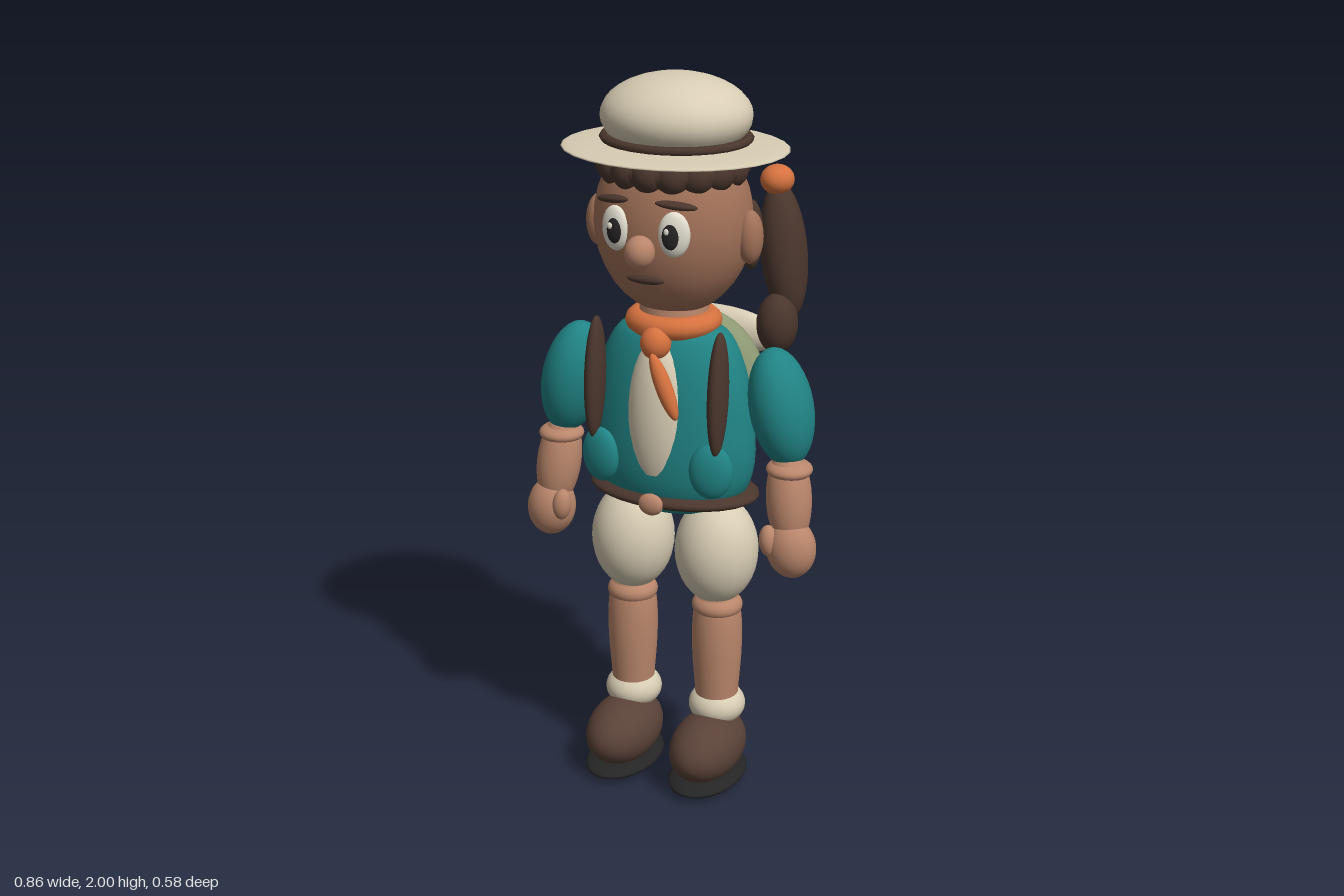
import * as THREE from 'three';

const mat = (name, color) => {
  const m = new THREE.MeshStandardMaterial({ color });
  m.name = name;
  return m;
};

export function createModel() {
  const face = mat('face skin', 0xa27259);
  const skin = mat('skin', 0xb9866b);
  const hair = mat('dark brown', 0x4a362d);
  const shoeBrown = mat('shoe brown', 0x5a4238);
  const cream = mat('cream', 0xd8cdb4);
  const teal = mat('teal', 0x218485);
  const orange = mat('orange', 0xd5723f);
  const green = mat('pack green', 0x8d9873);
  const black = mat('black', 0x262526);
  const white = mat('eye white', 0xe3dfd0);

  const model = new THREE.Group();
  model.name = 'hiker';
  const ball = new THREE.SphereGeometry(1, 28, 18);

  function add(name, geometry, material, pos, scale = [1, 1, 1], rot = [0, 0, 0]) {
    const m = new THREE.Mesh(geometry, material);
    m.name = name;
    m.position.set(...pos);
    m.scale.set(...scale);
    m.rotation.set(...rot);
    model.add(m);
    return m;
  }
  // ellipsoid from centre and radii
  const blob = (name, material, pos, radii, rot) => add(name, ball, material, pos, radii, rot);
  // ellipsoid on both sides, mirrored over x = 0
  const pair = (name, material, [x, y, z], radii, [rx, ry, rz] = [0, 0, 0]) => {
    blob(name + 'Left', material, [x, y, z], radii, [rx, ry, rz]);
    blob(name + 'Right', material, [-x, y, z], radii, [rx, -ry, -rz]);
  };
  // lathe from [radius, height] points, smoothed
  const turned = (points, n = 24) => new THREE.LatheGeometry(
    new THREE.SplineCurve(points.map(p => new THREE.Vector2(...p))).getPoints(n)
      .map(p => new THREE.Vector2(Math.max(p.x, 0), p.y)), 28);

  // hat
  blob('hatCrown', cream, [0, 1.89, 0.012], [0.203, 0.11, 0.188]);
  add('hatBand', new THREE.TorusGeometry(0.187, 0.019, 8, 28).rotateX(Math.PI / 2), hair,
    [0, 1.832, 0.012], [1, 0.6, 0.92]);
  blob('hatBrim', cream, [0, 1.807, 0.02], [0.307, 0.014, 0.268]);

  // head and face
  blob('head', face, [0, 1.615, 0.03], [0.215, 0.255, 0.195]);
  pair('ear', face, [0.218, 1.59, 0.03], [0.035, 0.072, 0.04]);
  pair('eye', white, [0.083, 1.625, 0.208], [0.042, 0.06, 0.02], [0, 0.25, 0]);
  pair('pupil', black, [0.08, 1.622, 0.224], [0.023, 0.034, 0.01], [0, 0.25, 0]);
  for (const s of [-1, 1])
    blob('eyeGlint', white, [s * 0.08 - 0.008, 1.636, 0.233], [0.007, 0.009, 0.004]);
  pair('eyebrow', hair, [0.09, 1.702, 0.21], [0.055, 0.011, 0.016], [0, 0.35, -0.12]);
  blob('nose', skin, [0, 1.577, 0.24], [0.04, 0.044, 0.04]);
  blob('mouth', hair, [0, 1.495, 0.205], [0.053, 0.012, 0.012]);

  // hair cap with a ring of curls
  blob('hairCap', hair, [0, 1.765, 0.022], [0.203, 0.075, 0.195]);
  for (let i = 0; i < 9; i++) {
    const a = (i - 4) * 0.38;
    blob('curl', hair, [Math.sin(a) * 0.16, 1.765, 0.025 + Math.cos(a) * 0.15], [0.05, 0.05, 0.05]);
  }
  for (let i = 0; i < 5; i++) {
    const a = Math.PI + (i - 2) * 0.45;
    blob('backCurl', hair, [Math.sin(a) * 0.15, 1.75, 0.025 + Math.cos(a) * 0.145], [0.055, 0.055, 0.05]);
  }
  pair('sideLock', hair, [0.19, 1.575, -0.045], [0.032, 0.095, 0.035]);

  // ponytail on the left side
  blob('hairTie', orange, [0.238, 1.715, -0.105], [0.045, 0.04, 0.048]);
  blob('ponytail', hair, [0.262, 1.525, -0.1], [0.062, 0.185, 0.066], [-0.08, 0, 0.14]);
  blob('ponytailTip', hair, [0.268, 1.34, -0.045], [0.055, 0.083, 0.06]);

  // neck and scarf
  add('neck', new THREE.CylinderGeometry(0.09, 0.1, 0.12, 24), skin, [0, 1.36, 0.025]);
  add('scarf', new THREE.TorusGeometry(0.097, 0.035, 12, 28).rotateX(Math.PI / 2), orange,
    [0, 1.34, 0.03], [1, 0.9, 0.95]);
  blob('scarfKnot', orange, [0, 1.305, 0.145], [0.042, 0.046, 0.04]);
  blob('scarfTail', orange, [0.042, 1.2, 0.185], [0.023, 0.095, 0.022], [0, 0, 0.38]);

  // torso
  add('jacket', turned([[0, 0.785], [0.11, 0.805], [0.2, 0.86], [0.232, 0.95], [0.23, 1.07],
    [0.212, 1.19], [0.18, 1.28], [0.13, 1.33], [0, 1.355]]), teal, [0, 0, 0.03], [1, 1, 0.63]);
  blob('shirtFront', cream, [0, 1.09, 0.122], [0.09, 0.225, 0.072]);
  pair('strap', hair, [0.18, 1.185, 0.145], [0.026, 0.17, 0.042], [-0.08, 0, 0]);
  pair('pocket', teal, [0.163, 0.968, 0.15], [0.06, 0.077, 0.03], [0, 0.25, 0]);
  blob('belt', hair, [0, 0.858, 0.025], [0.245, 0.035, 0.16]);
  blob('buckle', skin, [0, 0.858, 0.18], [0.036, 0.031, 0.018]);

  // arms
  pair('sleeve', teal, [0.31, 1.13, 0.02], [0.085, 0.165, 0.095], [0, 0, 0.2]);
  pair('forearm', skin, [0.346, 0.885, 0.045], [0.062, 0.14, 0.062], [-0.12, 0, 0.1]);
  pair('cuff', skin, [0.342, 0.965, 0.035], [0.063, 0.028, 0.063]);
  pair('hand', skin, [0.362, 0.752, 0.065], [0.069, 0.085, 0.064], [0, 0, 0.12]);
  pair('thumb', skin, [0.312, 0.775, 0.1], [0.027, 0.045, 0.028], [0, 0, 0.1]);

  // legs
  pair('shortsLeg', cream, [0.127, 0.69, 0.025], [0.116, 0.155, 0.116]);
  pair('knee', skin, [0.13, 0.525, 0.025], [0.071, 0.042, 0.07]);
  const shin = turned([[0, 0.16], [0.05, 0.18], [0.062, 0.28], [0.07, 0.4], [0.067, 0.5], [0.05, 0.56], [0, 0.575]]);
  for (const s of [-1, 1]) add('shin', shin, skin, [s * 0.13, 0, 0.025]);
  pair('sock', cream, [0.13, 0.217, 0.022], [0.08, 0.06, 0.08]);
  pair('shoe', shoeBrown, [0.13, 0.113, 0.085], [0.098, 0.095, 0.154]);
  pair('sole', black, [0.13, 0.026, 0.085], [0.1, 0.026, 0.157]);

  // backpack with bedroll
  blob('backpack', green, [0, 1.09, -0.165], [0.19, 0.222, 0.1]);
  blob('bedroll', cream, [0, 1.232, -0.247], [0.195, 0.07, 0.045]);

  return model;
}
